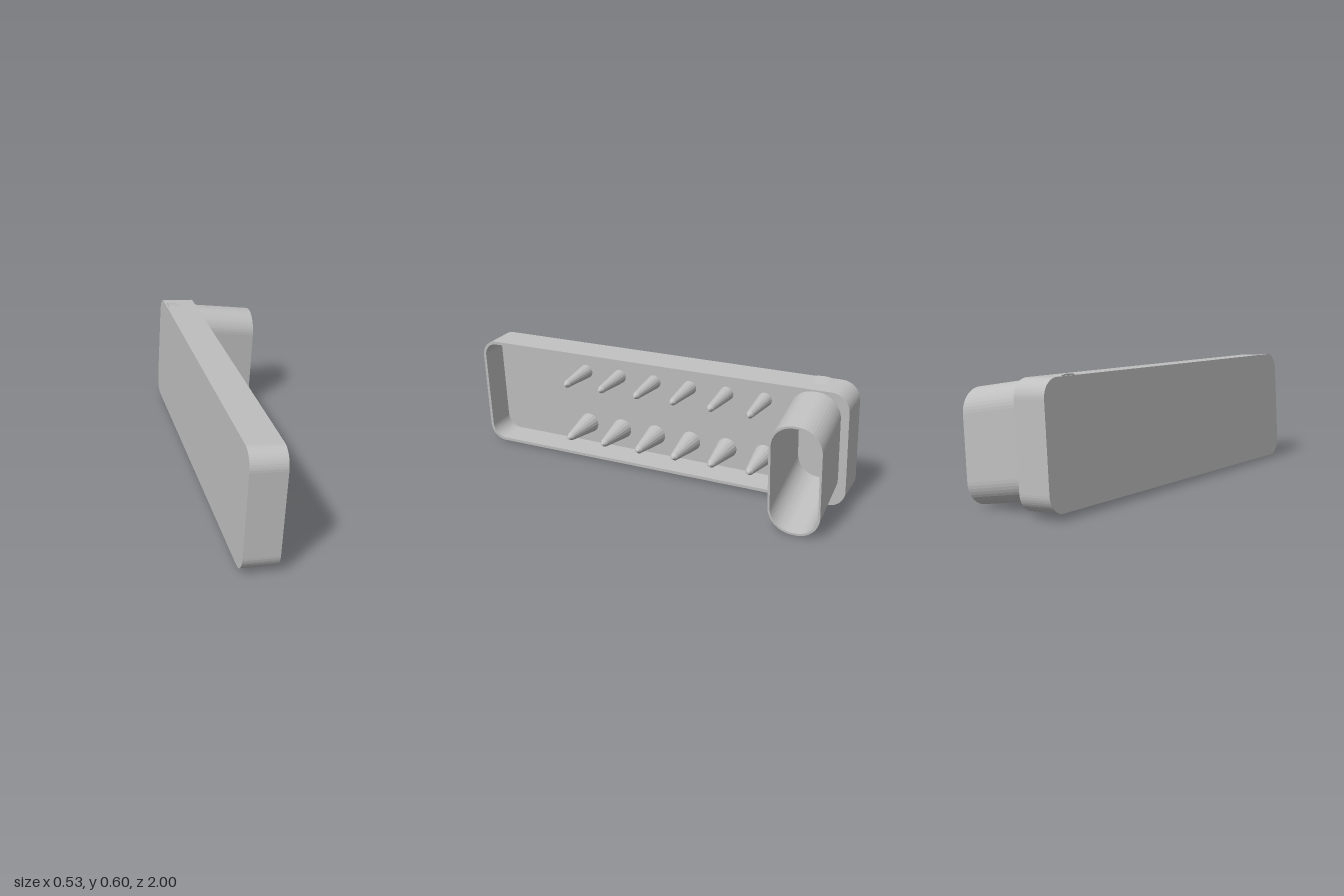
import * as THREE from 'three';

// Rounded rectangle; r0 rounds the low-y corners, r1 the high-y corners
function roundRect(x0, x1, y0, y1, r0, r1 = r0, Type = THREE.Shape) {
  const s = new Type();
  s.moveTo(x0 + r0, y0);
  s.lineTo(x1 - r0, y0);
  if (r0) s.absarc(x1 - r0, y0 + r0, r0, -Math.PI / 2, 0, false);
  s.lineTo(x1, y1 - r1);
  if (r1) s.absarc(x1 - r1, y1 - r1, r1, 0, Math.PI / 2, false);
  s.lineTo(x0 + r1, y1);
  if (r1) s.absarc(x0 + r1, y1 - r1, r1, Math.PI / 2, Math.PI, false);
  s.lineTo(x0, y0 + r0);
  if (r0) s.absarc(x0 + r0, y0 + r0, r0, Math.PI, Math.PI * 1.5, false);
  return s;
}

// Extrude a shape between two depths
function slab(shape, z0, z1, holes = []) {
  shape.holes.push(...holes);
  return new THREE.ExtrudeGeometry(shape, { depth: z1 - z0, bevelEnabled: false, curveSegments: 6 })
    .translate(0, 0, z0);
}

export function createModel() {
  const root = new THREE.Group();
  root.name = 'pegTray';
  const grey = new THREE.MeshStandardMaterial({ color: 0xbfbfbf });
  grey.name = 'plain grey';

  // Working axes: x = tray height, y = tray length, z = tray depth (open side)
  const tray = new THREE.Group();
  tray.name = 'tiltedTray';
  const len = new THREE.Vector3(0.109, -0.0075, 0.994).normalize();
  const depth = new THREE.Vector3(0.06, 0.998, 0.001).cross(len).normalize();
  const high = new THREE.Vector3().crossVectors(len, depth);
  tray.quaternion.setFromRotationMatrix(new THREE.Matrix4().makeBasis(high, len, depth));
  tray.position.set(-0.14, 0.31, 0.0175);
  root.add(tray);

  const add = (name, geo) => {
    const m = new THREE.Mesh(geo, grey);
    m.name = name;
    tray.add(m);
    return m;
  };

  const H = 0.2825, L = 0.988, R = 0.085, T = 0.015;
  const FLOOR = 0.02, RIM = 0.165, DIV = -0.7;
  const outer = () => roundRect(-H, H, -L, L, R);
  const cavity = () => roundRect(-H + T, H - T, DIV, L - T, 0, R - T, THREE.Path);

  // Socket offset at a given depth: it leans away from the tray axis
  const TOP = 0.483, LEAN_X = -0.105, LEAN_Y = -0.067;
  const socket = (inset, z, Type) => {
    const cx = -0.021 + LEAN_X * (z - TOP), cy = -0.85 + LEAN_Y * (z - TOP);
    const w = 0.262 - inset, l = 0.121 - inset;
    return roundRect(cx - w, cx + w, cy - l, cy + l, 0.112 - inset, 0.112 - inset, Type);
  };

  // Floor, walls with a hidden well behind the divider, and the flush end cap
  add('trayFloor', slab(outer(), 0, FLOOR));
  const well = roundRect(-H + T, H - T, -L + T, DIV - 0.006, R - T, 0, THREE.Path);
  add('trayWalls', slab(outer(), FLOOR, RIM - 0.01, [cavity(), well]));
  add('trayRim', slab(outer(), RIM - 0.01, RIM, [cavity(), socket(0.005, RIM, THREE.Path)]));

  // Leaning open socket
  const tube = slab(socket(0, 0), 0.01, TOP, [socket(0.01, 0, THREE.Path)]);
  tube.applyMatrix4(new THREE.Matrix4().set(
    1, 0, LEAN_X, 0,
    0, 1, LEAN_Y, 0,
    0, 0, 1, 0,
    0, 0, 0, 1));
  add('socket', tube);

  // Two rows of tapered pegs
  const peg = (r, tip) => {
    const pts = [[r, 0.015], [tip, 0.213], [tip * 0.3, 0.236], [0, 0.236]];
    const g = new THREE.LatheGeometry(pts.map(p => new THREE.Vector2(...p)), 18)
      .rotateX(Math.PI / 2).toNonIndexed();
    g.computeVertexNormals();
    return g;
  };
  const rows = [['smallPeg', peg(0.036, 0.018), 0.132], ['largePeg', peg(0.053, 0.02), -0.16]];
  for (const [name, geo, x] of rows) {
    for (let i = 0; i < 6; i++) add(name + (i + 1), geo).position.set(x, 0.45 - 0.197 * i, 0);
  }
  return root;
}
